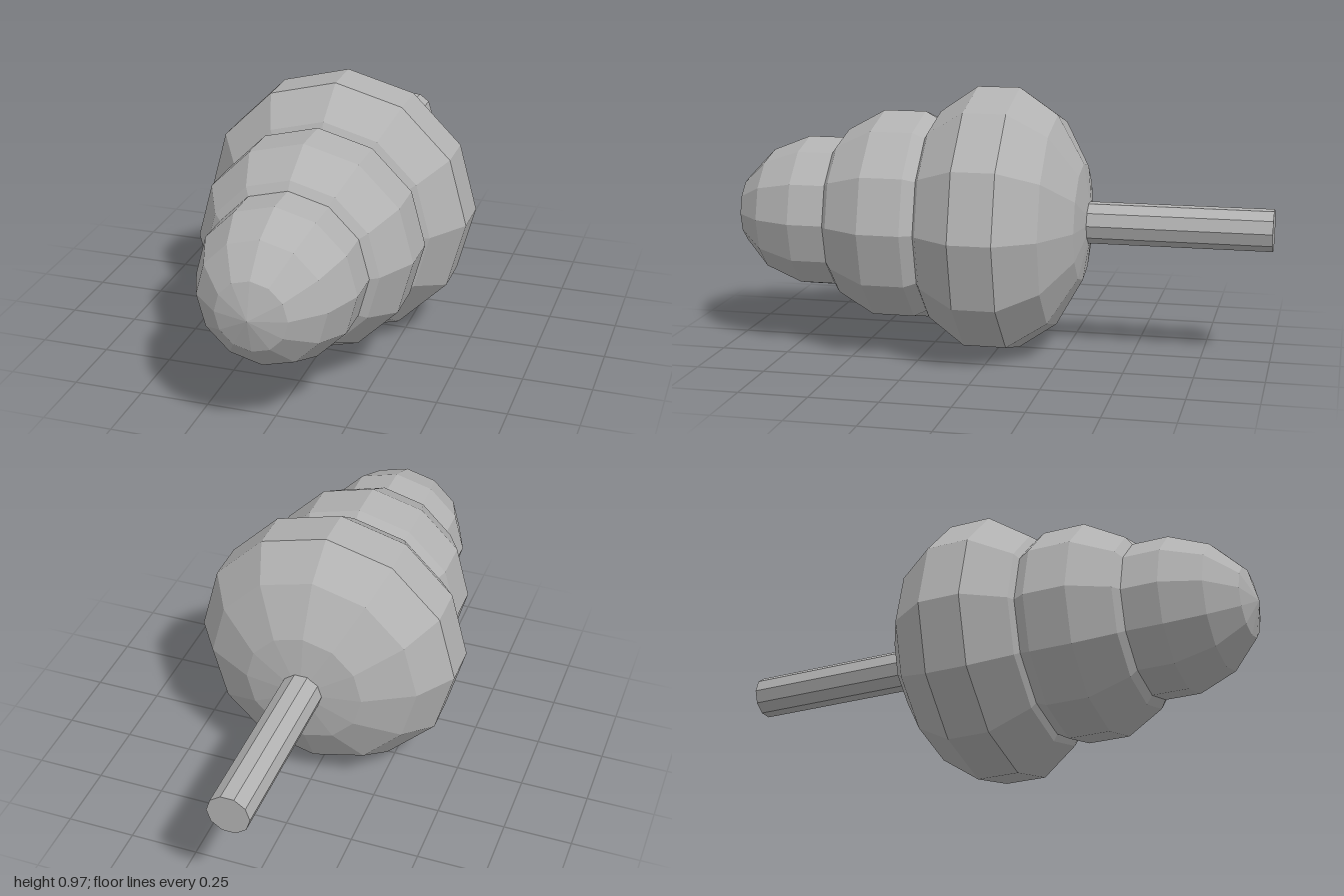
import * as THREE from 'three';

const AXIS_Y = 0.4875; // height of the shared centre line

export function createModel() {
  const group = new THREE.Group();
  const grey = new THREE.MeshStandardMaterial({ color: 0xb2b2b2, flatShading: true });
  grey.name = 'grey';

  const add = (name, geometry, z) => {
    const mesh = new THREE.Mesh(geometry.rotateX(Math.PI / 2), grey);
    mesh.name = name;
    mesh.position.set(0, AXIS_Y, z);
    group.add(mesh);
  };

  // Three overlapping faceted lobes, flattened along the axis and shrinking to the front
  const lobes = [
    ['rearLobe', 0.5, 0.003],
    ['middleLobe', 0.4, 0.356],
    ['frontLobe', 0.29, 0.65],
  ];
  for (const [name, radius, z] of lobes) {
    add(name, new THREE.SphereGeometry(1, 12, 7).scale(radius, 0.35, radius), z);
  }

  // Ten-sided rod, its inner end buried in the rear lobe
  const rodLength = 0.72;
  add('rod', new THREE.CylinderGeometry(0.077, 0.077, rodLength, 10, 1, false, Math.PI / 2), -1 + rodLength / 2);

  return group;
}
